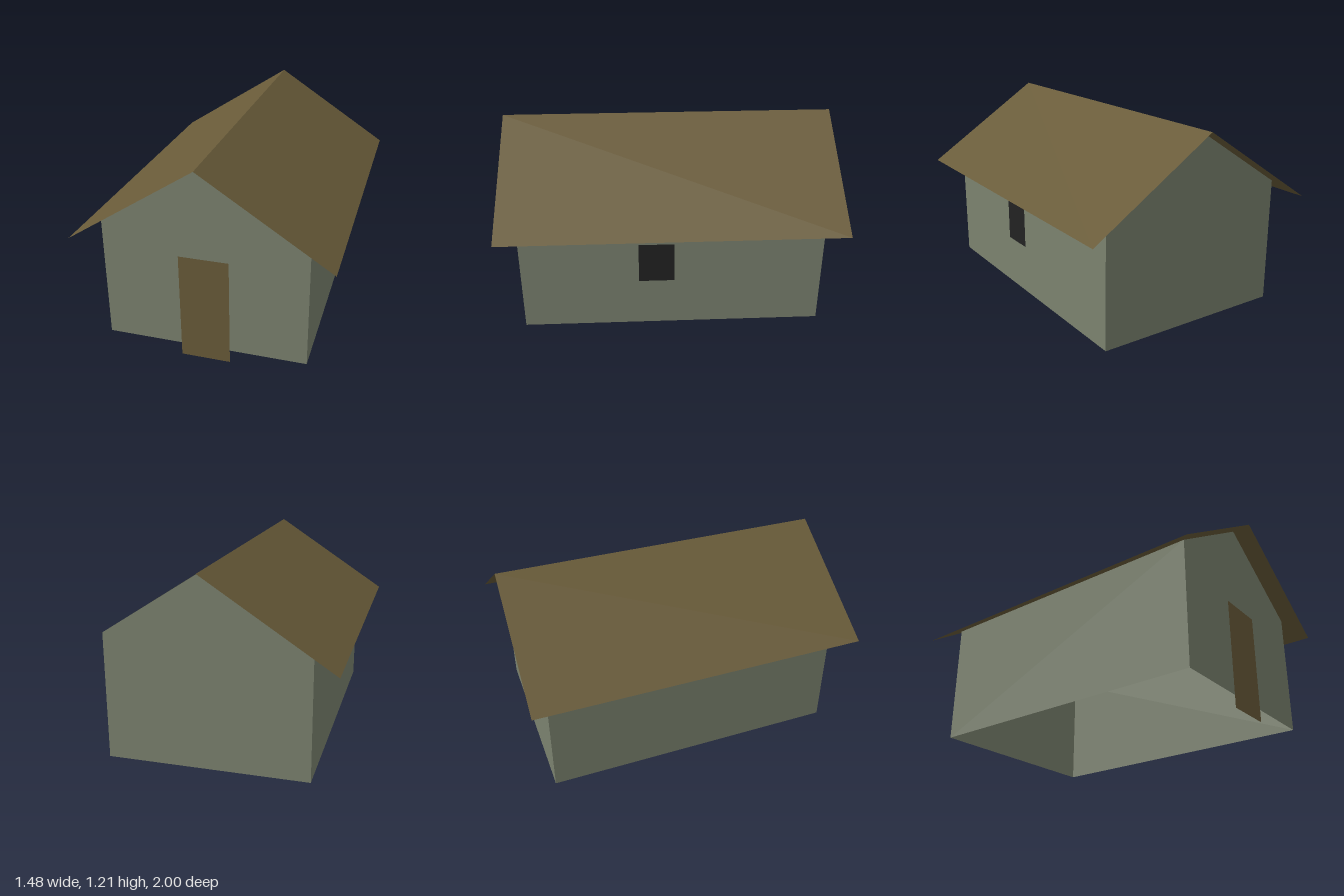
import * as THREE from 'three';

const material = (name, color) => {
  const m = new THREE.MeshStandardMaterial({ color, side: THREE.DoubleSide });
  m.name = name;
  return m;
};

export function createModel() {
  const house = new THREE.Group();
  house.name = 'house';

  const wallGreen = material('wallGreen', 0x7b826f);
  const woodBrown = material('woodBrown', 0x695b39);
  const windowBlack = material('windowBlack', 0x222222);

  const halfW = 0.59, halfL = 0.89, base = 0.077, eaves = 0.828, gableTop = 1.209;
  const ridge = 1.213, roofX = 0.74, roofY = 0.733, roofLength = 2;

  const add = (name, geometry, mat, x, y, z, rotY = 0) => {
    const mesh = new THREE.Mesh(geometry, mat);
    mesh.name = name;
    mesh.position.set(x, y, z);
    mesh.rotation.y = rotY;
    house.add(mesh);
    return mesh;
  };

  // Gable end walls, open underneath
  const gable = new THREE.ShapeGeometry(new THREE.Shape([
    new THREE.Vector2(-halfW, base),
    new THREE.Vector2(halfW, base),
    new THREE.Vector2(halfW, eaves),
    new THREE.Vector2(0, gableTop),
    new THREE.Vector2(-halfW, eaves),
  ]));
  add('frontWall', gable, wallGreen, 0, 0, halfL);
  add('backWall', gable, wallGreen, 0, 0, -halfL, Math.PI);

  // Side walls and the thin roof slopes, mirrored
  const wallH = eaves - base;
  const slope = Math.atan2(ridge - roofY, roofX);
  const slopeWidth = Math.hypot(roofX, ridge - roofY);
  for (const [label, s] of [['left', 1], ['right', -1]]) {
    add(label + 'Wall', new THREE.PlaneGeometry(2 * halfL, wallH), wallGreen,
      s * halfW, base + wallH / 2, 0, s * Math.PI / 2);
    const sheet = new THREE.PlaneGeometry(slopeWidth, roofLength).rotateX(-Math.PI / 2);
    const roof = add(label + 'Roof', sheet, woodBrown, s * roofX / 2, (ridge + roofY) / 2, 0);
    roof.rotation.z = -s * slope;
  }

  // Door reaching down to the ground, and the single side window
  add('door', new THREE.PlaneGeometry(0.29, 0.652), woodBrown, 0, 0.326, halfL + 0.004);
  add('window', new THREE.PlaneGeometry(0.21, 0.25), windowBlack,
    halfW + 0.004, 0.505, 0.092, Math.PI / 2);

  return house;
}
